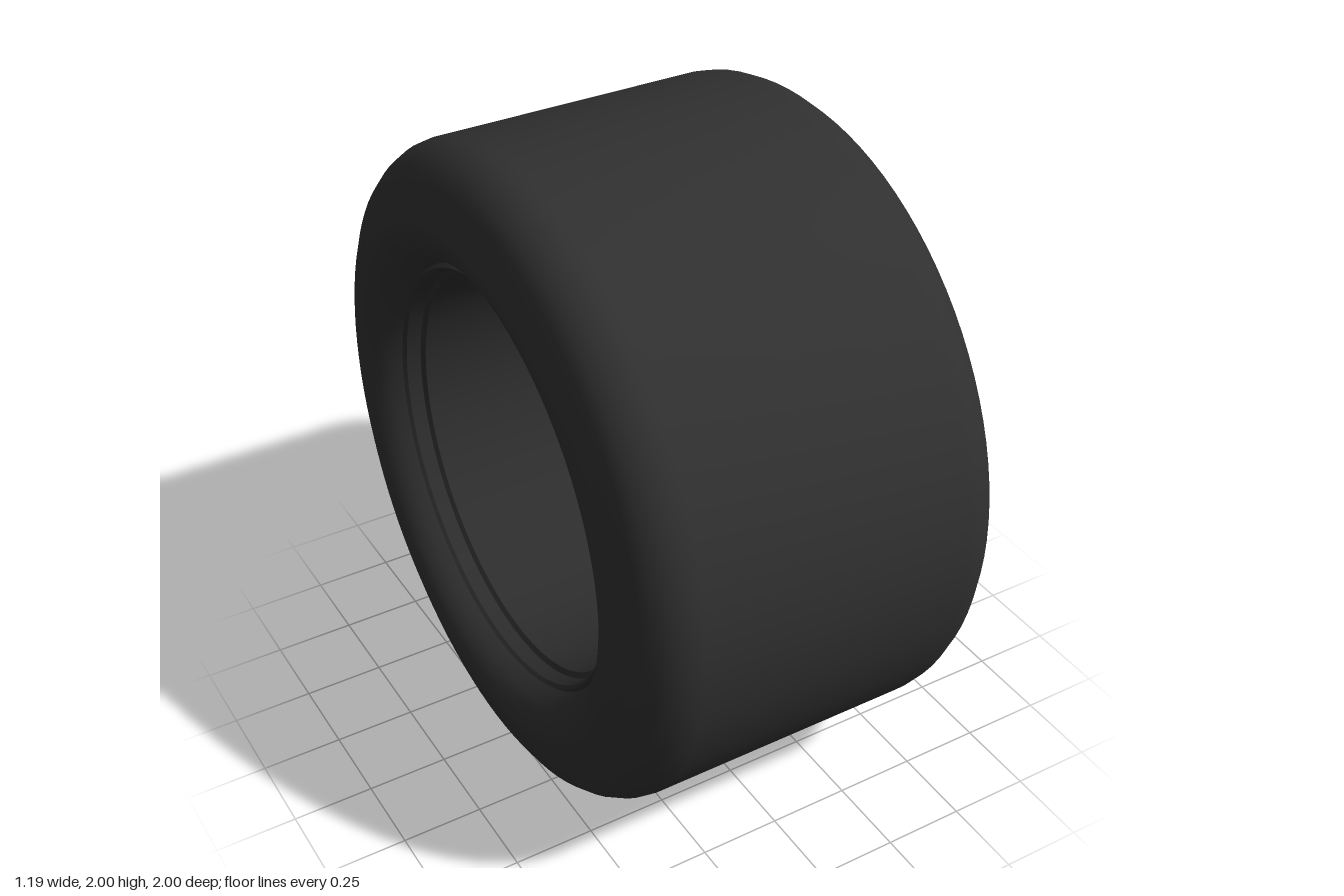
import * as THREE from 'three';
import { toCreasedNormals } from 'three/addons/utils/BufferGeometryUtils.js';

const rubber = new THREE.MeshStandardMaterial({ color: 0x303030 });
rubber.name = 'tyre black';
const rimBlack = new THREE.MeshStandardMaterial({ color: 0x2d2d2d });
rimBlack.name = 'rim black';
const brass = new THREE.MeshStandardMaterial({ color: 0xc8b575 });
brass.name = 'brass';

function part(name, geometry, material, crease) {
  const mesh = new THREE.Mesh(toCreasedNormals(geometry, crease), material);
  mesh.name = name;
  return mesh;
}

// Turn a list of [x, radius] points around the x axis
function turned(points) {
  const geo = new THREE.LatheGeometry(points.map(([x, r]) => new THREE.Vector2(r, x)), 96);
  return geo.rotateZ(-Math.PI / 2);
}

// Point at a clock angle from the top, moved sideways along the tangent
function polar(angle, r, side = 0) {
  const s = Math.sin(angle), c = Math.cos(angle);
  return new THREE.Vector2(s * r + c * side, c * r - s * side);
}

export function createModel() {
  const group = new THREE.Group();
  group.name = 'wheel';
  const wheel = new THREE.Group();
  wheel.name = 'wheelAssembly';
  wheel.position.y = 1;
  group.add(wheel);

  // Tyre: wide flat tread, rounded shoulders, bulged sidewalls
  const half = [
    [0.42, 1], [0.46, 0.994], [0.5, 0.975], [0.535, 0.945], [0.558, 0.905],
    [0.572, 0.86], [0.582, 0.825], [0.594, 0.79], [0.595, 0.765],
    [0.588, 0.735], [0.572, 0.705], [0.545, 0.675], [0.51, 0.655], [0.49, 0.645],
  ];
  const mirrored = half.map(([x, r]) => [-x, r]).reverse();
  wheel.add(part('tyre', turned([...mirrored, ...half]), rubber, 0.6));

  // Rim: barrel open at the inner side, rounded lips and a dished face
  const rim = [
    [-0.5, 0.652], [0.5, 0.652], [0.522, 0.645], [0.532, 0.62], [0.524, 0.595], [0.505, 0.585],
    [0.465, 0.58], [0.385, 0.45], [0.36, 0.38], [0.2, 0.215], [0.17, 0.215],
    [0.33, 0.4], [0.41, 0.6], [-0.45, 0.61], [-0.46, 0.625], [-0.505, 0.63], [-0.515, 0.64], [-0.5, 0.652],
  ];
  wheel.add(part('rim', turned(rim), rimBlack, 0.6));

  // Ten-sided hub ring with a notched tooth at each corner
  const tooth = [[-0.05, 0.44], [-0.057, 0.47], [-0.03, 0.453], [0.03, 0.453], [0.057, 0.47], [0.05, 0.44]];
  const outline = [], opening = [];
  for (let i = 0; i < 10; i++) {
    const a = (i / 10) * Math.PI * 2;
    for (const [side, r] of tooth) outline.push(polar(a, r, side));
    opening.push(polar(a, 0.4));
  }
  const ringShape = new THREE.Shape(outline);
  ringShape.holes.push(new THREE.Path(opening));
  const ringGeo = new THREE.ExtrudeGeometry(ringShape, { depth: 0.06, bevelEnabled: false });
  ringGeo.rotateY(Math.PI / 2).translate(0.35, 0, 0);
  wheel.add(part('hubRing', ringGeo, rimBlack, 0.3));

  // Hexagonal nut at the hub centre
  const nutGeo = new THREE.CylinderGeometry(0.135, 0.135, 0.15, 6);
  nutGeo.rotateZ(-Math.PI / 2).translate(0.39, 0, 0);
  wheel.add(part('hexNut', nutGeo, brass, 0.3));

  return group;
}
